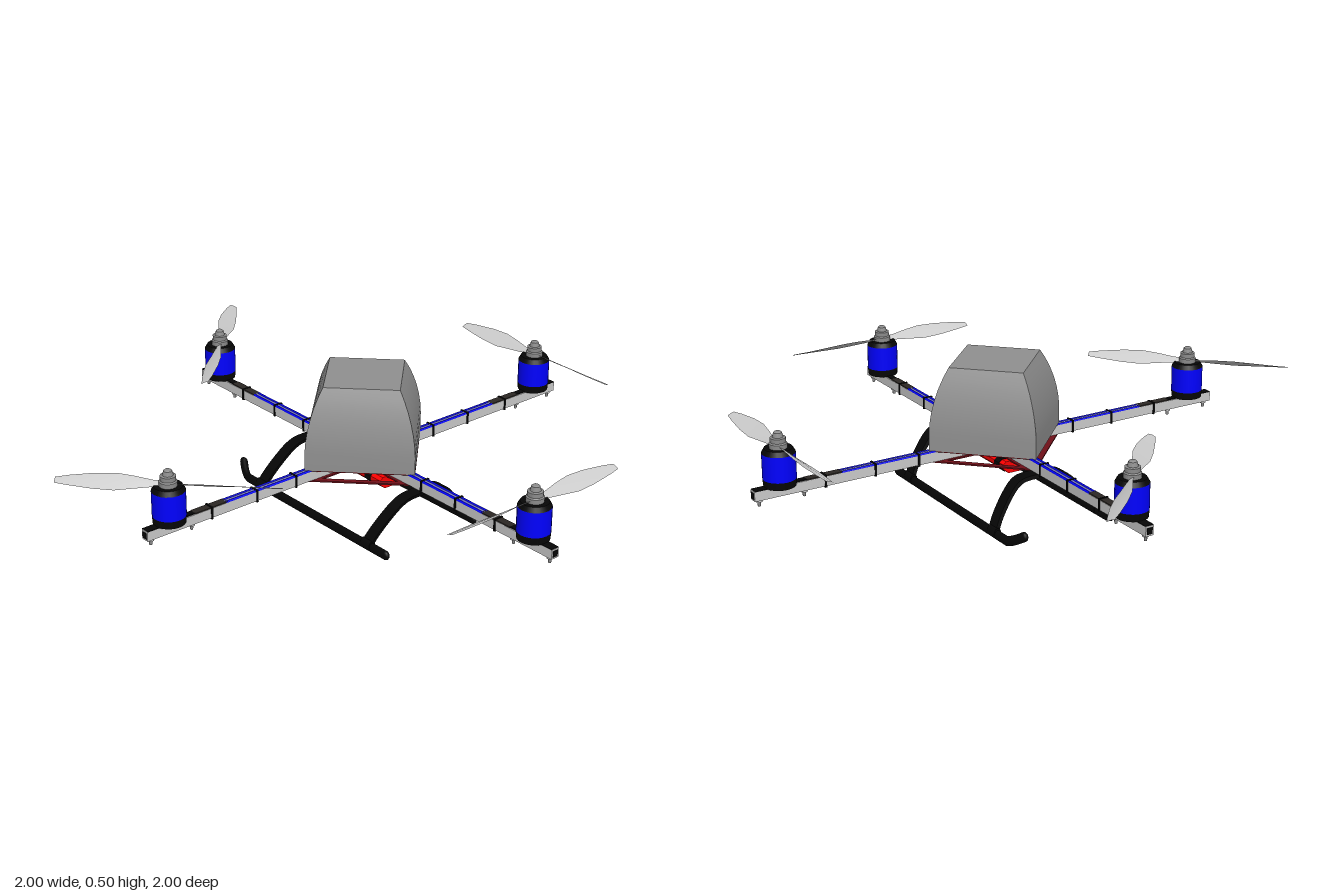
import * as THREE from 'three';
import { toCreasedNormals } from 'three/addons/utils/BufferGeometryUtils.js';

const mat = (color, extra = {}) => new THREE.MeshStandardMaterial({ color, ...extra });
const grey = mat(0xcccccc);
const greyThin = mat(0xcccccc, { side: THREE.DoubleSide });
const coverGrey = mat(0x909090, { side: THREE.DoubleSide });
const hubGrey = mat(0x8c8c8c);
const blue = mat(0x0000ff);
const paleBlue = mat(0x8080d8);
const black = mat(0x060606);
const darkBrown = mat(0x2c2824);
const red = mat(0xff0000);
const darkRed = mat(0x701018);

function add(parent, name, geometry, material, x = 0, y = 0, z = 0) {
  const mesh = new THREE.Mesh(geometry, material);
  mesh.name = name;
  mesh.position.set(x, y, z);
  parent.add(mesh);
  return mesh;
}

const box = (w, h, d) => new THREE.BoxGeometry(w, h, d);
const cyl = (rTop, rBottom, h, n = 24) => new THREE.CylinderGeometry(rTop, rBottom, h, n);
const lathe = (pts, n) => toCreasedNormals(new THREE.LatheGeometry(pts.map(p => new THREE.Vector2(...p)), n), 0.6);

// Thin twisted blade along +x, lofted from [radius, leading, trailing, pitch] stations
function bladeGeometry(spin) {
  const stations = [
    [0.0, 0.012, -0.012, 0.6], [0.05, 0.013, -0.013, 0.6], [0.11, 0.025, -0.022, 0.58],
    [0.17, 0.034, -0.032, 0.54], [0.24, 0.032, -0.03, 0.48], [0.32, 0.021, -0.021, 0.42], [0.365, 0.011, -0.014, 0.38],
  ];
  const pos = [], index = [];
  stations.forEach(([r, a, b, pitch], i) => {
    for (const w of [a, (a + b) / 2, b]) {
      const camber = w === (a + b) / 2 ? 0.002 : 0;
      pos.push(r, w * Math.sin(pitch) + camber, w * Math.cos(pitch) * spin);
    }
    if (i === 0) return;
    for (let j = 0; j < 2; j++) {
      const p = (i - 1) * 3 + j, q = p + 3;
      if (spin > 0) index.push(p, q, p + 1, p + 1, q, q + 1);
      else index.push(p, p + 1, q, p + 1, q + 1, q);
    }
  });
  const g = new THREE.BufferGeometry();
  g.setAttribute('position', new THREE.Float32BufferAttribute(pos, 3));
  g.setIndex(index);
  g.computeVertexNormals();
  return g;
}

function propeller(spin) {
  const prop = new THREE.Group();
  prop.name = 'propeller';
  for (const turn of [0, Math.PI]) add(prop, 'blade', bladeGeometry(spin), greyThin).rotation.y = turn;
  add(prop, 'hub', lathe([[0, -0.012], [0.03, -0.012], [0.03, 0.012], [0.026, 0.016], [0.026, 0.031],
    [0.018, 0.033], [0.014, 0.048], [0.009, 0.052], [0, 0.052]], 20), hubGrey);
  return prop;
}

// Motor stack: base, blue bell, cap
function motor() {
  const m = new THREE.Group();
  m.name = 'motor';
  add(m, 'motorBase', cyl(0.056, 0.054, 0.026), black, 0, 0.227);
  add(m, 'motorBell', cyl(0.056, 0.056, 0.088), blue, 0, 0.284);
  add(m, 'motorCap', cyl(0.047, 0.056, 0.016), black, 0, 0.336);
  add(m, 'motorShaft', cyl(0.012, 0.012, 0.03, 12), hubGrey, 0, 0.345);
  return m;
}

// One arm pointing along local +x
function arm(propAngle, spin) {
  const a = new THREE.Group();
  a.name = 'arm';
  add(a, 'beam', box(0.824, 0.034, 0.03), grey, 0.502, 0.197);
  add(a, 'beamEndPlug', box(0.004, 0.022, 0.02), black, 0.914, 0.197);
  add(a, 'endPad', box(0.045, 0.003, 0.031), black, 0.89, 0.2145);
  // wiring and speed controller on the beam
  for (const [z, material] of [[-0.01, blue], [0, paleBlue], [0.01, blue]]) {
    add(a, 'wire', cyl(0.005, 0.005, 0.4, 8), material, 0.4, 0.214, z).rotation.z = Math.PI / 2;
  }
  add(a, 'speedController', box(0.13, 0.005, 0.028), darkBrown, 0.66, 0.2155);
  add(a, 'motorLead', box(0.04, 0.005, 0.022), black, 0.745, 0.2155);
  for (const x of [0.31, 0.475, 0.66]) add(a, 'cableTie', box(0.007, 0.044, 0.036), black, x, 0.198);
  // bolts under the motor mount
  for (const x of [0.732, 0.893]) {
    add(a, 'boltHead', cyl(0.011, 0.011, 0.01, 10), grey, x, 0.177);
    add(a, 'boltTip', cyl(0.006, 0.005, 0.018, 10), hubGrey, x, 0.166);
  }
  const m = motor();
  m.position.x = 0.817;
  const p = propeller(spin);
  p.position.y = 0.348;
  p.rotation.y = propAngle;
  m.add(p);
  a.add(m);
  return a;
}

// Square plate, corners on the arms, with four triangular cut-outs
function plateGeometry() {
  const R = 0.258, shape = new THREE.Shape();
  [[R, 0], [0, R], [-R, 0], [0, -R]].forEach(([x, y], i) => (i ? shape.lineTo(x, y) : shape.moveTo(x, y)));
  for (const [sx, sy] of [[1, 1], [-1, 1], [-1, -1], [1, -1]]) {
    const hole = new THREE.Path();
    hole.moveTo(0.025 * sx, 0.025 * sy);
    hole.lineTo(0.205 * sx, 0.025 * sy);
    hole.lineTo(0.025 * sx, 0.205 * sy);
    hole.closePath();
    shape.holes.push(hole);
  }
  return new THREE.ExtrudeGeometry(shape, { depth: 0.005, bevelEnabled: false }).rotateX(-Math.PI / 2);
}

// Arched flat strap in the zy plane, leaning along x as it drops
function legGeometry() {
  const half = [[0.07, 0.169], [0.1, 0.154], [0.14, 0.114], [0.18, 0.061], [0.2, 0.024]];
  const points = [...half.map(([z, y]) => [-z, y]).reverse(), [0, 0.172], ...half];
  const curve = new THREE.CatmullRomCurve3(points.map(([z, y]) => new THREE.Vector3(z, y, 0)));
  const outer = [], inner = [];
  for (let i = 0; i <= 40; i++) {
    const p = curve.getPoint(i / 40), t = curve.getTangent(i / 40);
    outer.push(new THREE.Vector2(p.x - t.y * 0.0065, p.y + t.x * 0.0065));
    inner.unshift(new THREE.Vector2(p.x + t.y * 0.0065, p.y - t.x * 0.0065));
  }
  const g = new THREE.ExtrudeGeometry(new THREE.Shape([...outer, ...inner]), { depth: 0.045, bevelEnabled: false });
  g.translate(0, 0, -0.0225).rotateY(Math.PI / 2);
  const p = g.attributes.position;
  for (let i = 0; i < p.count; i++) p.setX(i, p.getX(i) + (p.getY(i) - 0.171) * 0.27);
  return toCreasedNormals(g, 0.6);
}

// Bar along x, flat on top and narrowing below; grow makes a band around it
function batteryGeometry(length, grow) {
  const w = 0.053 + grow, b = 0.032 + grow, top = 0.177 + grow, low = 0.134 - grow;
  const outline = [[-w + 0.012, top], [-w, 0.168], [-w, 0.153], [-b, low], [b, low], [w, 0.153], [w, 0.168], [w - 0.012, top]];
  const shape = new THREE.Shape(outline.map(p => new THREE.Vector2(...p)));
  return new THREE.ExtrudeGeometry(shape, { depth: length, bevelEnabled: false })
    .translate(0, 0, -length / 2).rotateY(Math.PI / 2);
}

// Oval runner with its tip turned up and inward, plus clamps for the legs
function skid(side) {
  const s = new THREE.Group();
  s.name = 'skid';
  s.position.z = 0.198 * side;
  s.scale.z = 0.7;
  const pts = [[-0.458, 0.048, -0.04], [-0.42, 0.022, -0.005], [-0.395, 0.017, 0], [0.342, 0.017, 0]]
    .map(([x, y, z]) => new THREE.Vector3(x, y, z * side));
  const path = new THREE.CurvePath();
  path.add(new THREE.QuadraticBezierCurve3(pts[0], pts[1], pts[2]));
  path.add(new THREE.LineCurve3(pts[2], pts[3]));
  add(s, 'runner', new THREE.TubeGeometry(path, 60, 0.017, 12), black);
  for (const end of [pts[0], pts[3]]) add(s, 'runnerEnd', new THREE.SphereGeometry(0.017, 12, 8), black, ...end.toArray());
  for (const x of [-0.315, 0.252]) {
    add(s, 'clamp', cyl(0.02, 0.02, 0.045, 12), black, x, 0.021).rotation.z = Math.PI / 2;
  }
  return s;
}

export function createModel() {
  const model = new THREE.Group();
  model.name = 'quadcopter';
  const body = new THREE.Group();
  body.name = 'body';
  body.position.set(0.077, 0, -0.083);
  model.add(body);

  // Arms: [heading, propeller angle in model space, spin]
  for (const [turn, prop, spin] of [[0, Math.PI / 2, -1], [Math.PI / 2, 0, 1],
    [Math.PI, 3 * Math.PI / 4, -1], [-Math.PI / 2, Math.PI / 4, 1]]) {
    const a = arm(prop - turn, spin);
    a.rotation.y = turn;
    body.add(a);
  }

  // Frame plates
  for (const y of [0.175, 0.214]) add(body, 'framePlate', plateGeometry(), darkRed, 0, y);

  // Four-sided open cover with curved walls and a flat top
  add(body, 'cover', lathe([[0.262, 0.218], [0.262, 0.28], [0.259, 0.315], [0.251, 0.355], [0.239, 0.394],
    [0.223, 0.432], [0.204, 0.467], [0.182, 0.5], [0, 0.5]], 4), coverGrey);

  // Battery with straps
  add(body, 'battery', batteryGeometry(0.285, 0), red, 0.005);
  for (const x of [-0.097, 0.083]) add(body, 'batteryStrap', batteryGeometry(0.03, 0.002), black, x);

  // Landing gear
  for (const x of [-0.275, 0.292]) add(body, 'landingLeg', legGeometry(), black, x);
  for (const side of [-1, 1]) body.add(skid(side));
  return model;
}
